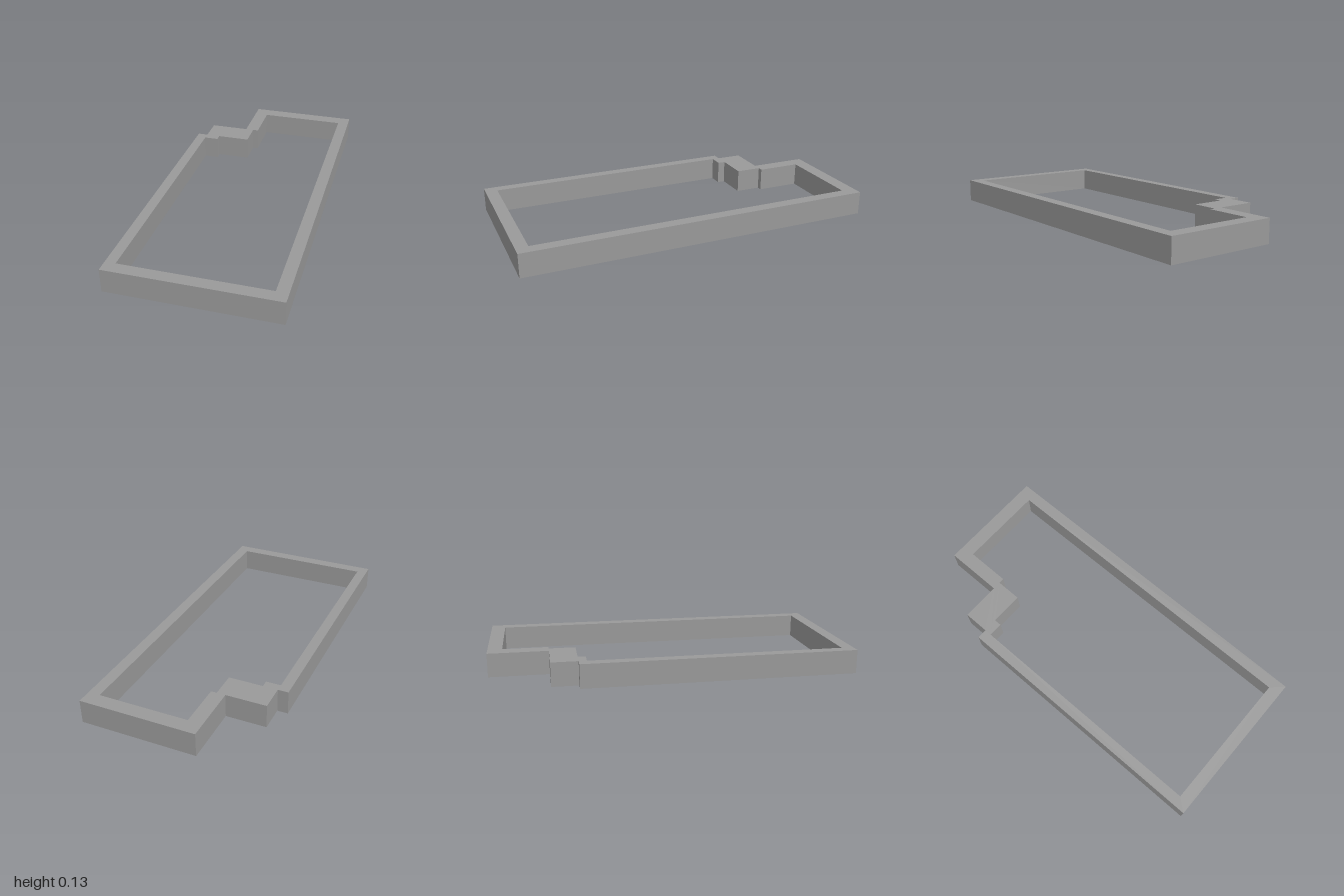
import * as THREE from 'three';

const HEIGHT = 0.133;

// Plan outlines as [x, z] corners
const OUTER = [
  [-0.463, 1], [0.463, 1], [0.463, -1], [-0.18, -1], [-0.18, -0.667],
  [-0.405, -0.667], [-0.405, -0.52], [-0.463, -0.52],
];
const INNER = [
  [-0.405, 0.932], [0.398, 0.932], [0.398, -0.92], [-0.1, -0.92], [-0.1, -0.667],
  [-0.132, -0.667], [-0.132, -0.52], [-0.323, -0.52], [-0.323, -0.477], [-0.405, -0.477],
];

// Shape y becomes -z once the extrusion is laid flat
const toPoints = (corners) => corners.map(([x, z]) => new THREE.Vector2(x, -z));

export function createModel() {
  const group = new THREE.Group();
  group.name = 'perimeterWalls';
  const wallGray = new THREE.MeshStandardMaterial({ color: 0x999999 });
  wallGray.name = 'wallGray';

  // Closed ring of walls with a stepped corner at the back right
  const plan = new THREE.Shape(toPoints(OUTER));
  plan.holes.push(new THREE.Path(toPoints(INNER)));
  const geometry = new THREE.ExtrudeGeometry(plan, { depth: HEIGHT, bevelEnabled: false });
  geometry.rotateX(-Math.PI / 2);

  const walls = new THREE.Mesh(geometry, wallGray);
  walls.name = 'steppedWallRing';
  group.add(walls);
  return group;
}
